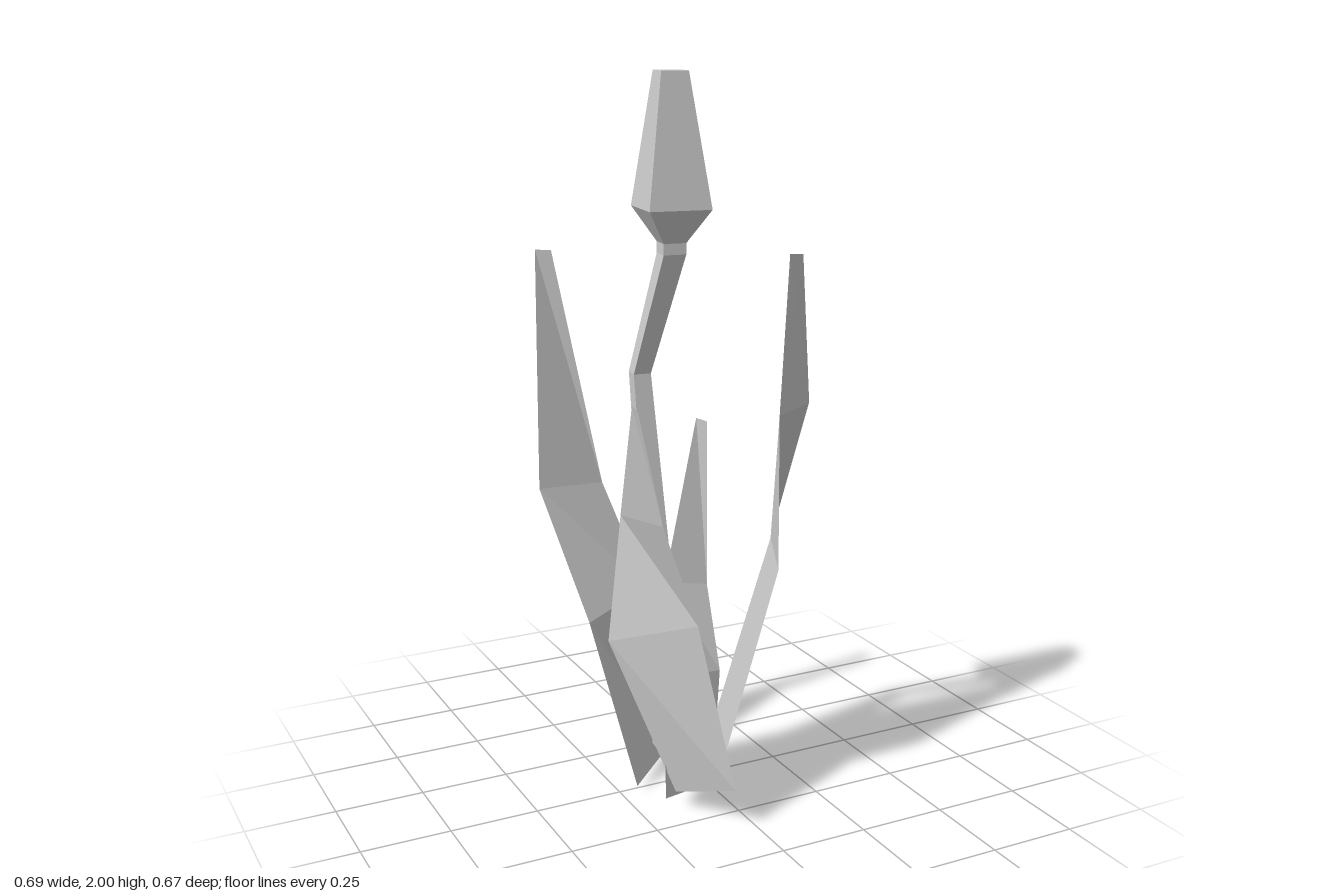
import * as THREE from 'three';

const grey = new THREE.MeshStandardMaterial({ color: 0xcccccc, flatShading: true, side: THREE.DoubleSide });
grey.name = 'pale grey';

// Joins equal-length cross-sections into faceted strips; closed sections get end caps.
function loft(name, rows, closed) {
  const pos = [];
  const quad = (a, b, c, d) => pos.push(...a, ...b, ...d, ...b, ...c, ...d);
  const n = rows[0].length;
  for (let i = 0; i < rows.length - 1; i++) {
    for (let j = 0; j < (closed ? n : n - 1); j++) {
      const k = (j + 1) % n;
      quad(rows[i][j], rows[i][k], rows[i + 1][k], rows[i + 1][j]);
    }
  }
  if (closed) {
    const [a, b, c, d] = rows[0];
    quad(d, c, b, a);
    quad(...rows[rows.length - 1]);
  }
  const geo = new THREE.BufferGeometry();
  geo.setAttribute('position', new THREE.Float32BufferAttribute(pos, 3));
  geo.computeVertexNormals();
  const mesh = new THREE.Mesh(geo, grey);
  mesh.name = name;
  return mesh;
}

// Slightly turned horizontal square: centre x, y, z and half side.
function square([x, y, z, h]) {
  const r = h * Math.SQRT2;
  return [0, 1, 2, 3].map((i) => {
    const a = Math.PI / 4 - 0.145 + i * Math.PI / 2;
    return [x + r * Math.sin(a), y, z + r * Math.cos(a)];
  });
}

export function createModel() {
  const group = new THREE.Group();
  group.name = 'plant';

  // Bent square stem
  group.add(loft('stem', [
    [-0.1, 0.12, 0.03, 0.043],
    [-0.148, 1.2, -0.057, 0.024],
    [-0.092, 1.53, 0.027, 0.031],
    [-0.092, 1.56, 0.027, 0.031],
  ].map(square), true));

  // Closed bud
  group.add(loft('bud', [
    [-0.092, 1.56, 0.027, 0.031],
    [-0.091, 1.65, 0.025, 0.085],
    [-0.092, 2.0, 0.027, 0.037],
  ].map(square), true));

  // Folded leaves: pairs of edge points from base to tip
  const leaves = {
    leftLeaf: [
      [[-0.028, 0.015, 0.155], [0.09, 0.01, -0.13]],
      [[0.14, 0.67, 0.21], [0.262, 0.67, -0.05]],
      [[0.186, 1.08, 0.125], [0.342, 1.08, 0.02]],
      [[0.252, 1.51, 0.056], [0.3, 1.505, 0.045]],
    ],
    backLeaf: [
      [[-0.206, 0.02, 0.026], [0, 0, -0.2]],
      [[-0.286, 0.48, -0.112], [-0.04, 0.5, -0.26]],
      [[-0.344, 0.825, -0.325], [-0.155, 0.825, -0.31]],
      [[-0.334, 1.51, -0.338], [-0.298, 1.51, -0.309]],
    ],
    frontLeaf: [
      [[-0.145, 0.045, 0.15], [-0.055, 0.11, 0.334]],
      [[-0.284, 0.47, 0.015], [-0.13, 0.57, 0.257]],
      [[-0.246, 0.83, 0.022], [-0.216, 0.85, 0.224]],
      [[-0.28, 1.17, 0.178], [-0.284, 1.165, 0.224]],
    ],
    smallLeaf: [
      [[-0.175, 0.03, 0.148], [0, 0.015, 0.09]],
      [[-0.15, 0.36, 0.09], [0.039, 0.34, 0.06]],
      [[-0.1, 0.605, -0.01], [0.017, 0.59, 0.022]],
      [[-0.008, 1.07, 0.005], [0.01, 1.065, 0.035]],
    ],
  };
  for (const [name, rows] of Object.entries(leaves)) group.add(loft(name, rows, false));

  return group;
}
